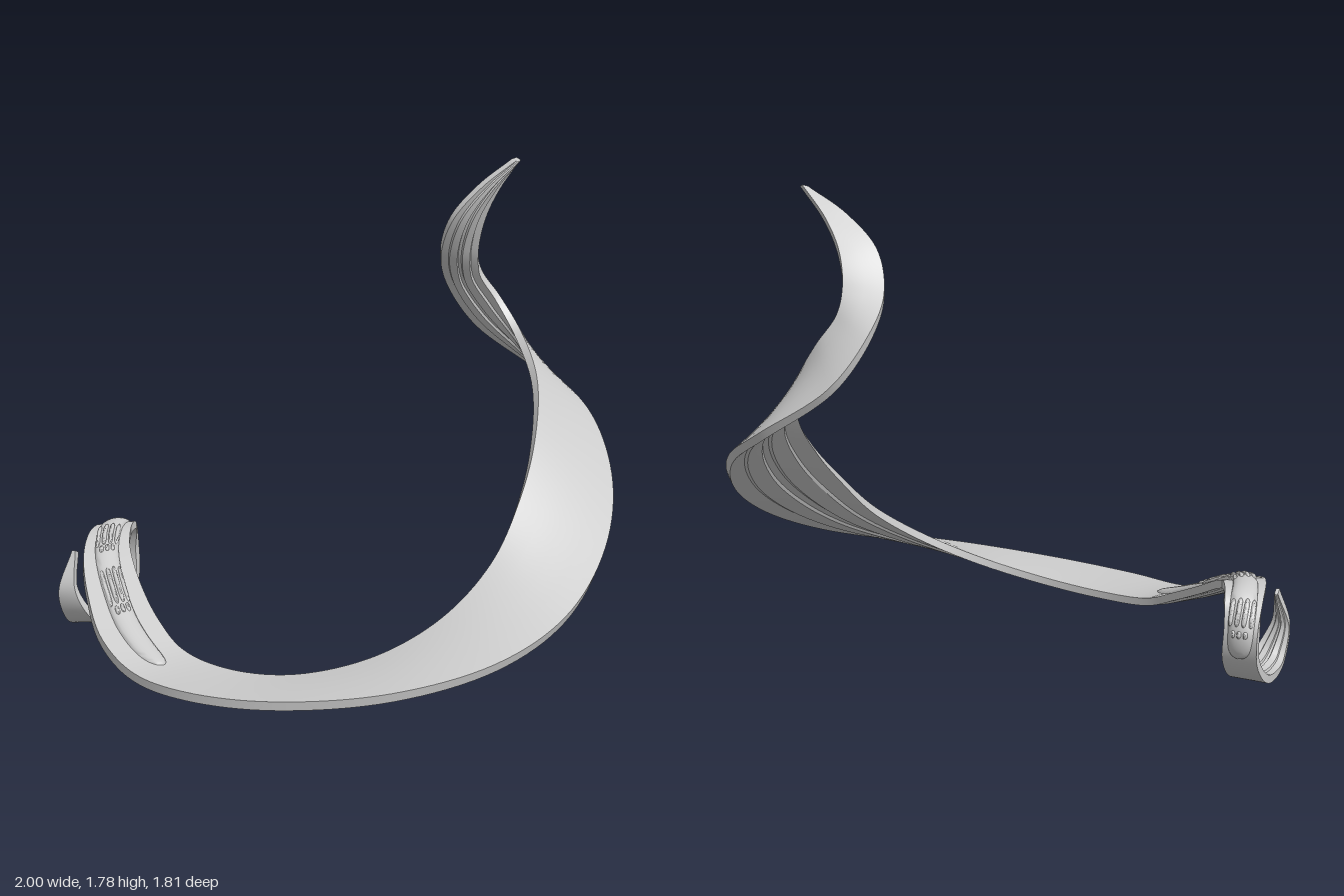
import * as THREE from 'three';
import { toCreasedNormals } from 'three/addons/utils/BufferGeometryUtils.js';

// Matching stations along the two edges of the ribbon, from the upper tip to the curled tail
const INNER = [
  [.295, 1.79, -.672], [.235, 1.68, -.625], [.185, 1.57, -.61], [.15, 1.45, -.63], [.145, 1.36, -.665],
  [.2, 1.26, -.71], [.31, 1.13, -.7], [.44, .98, -.62], [.58, .78, -.41], [.66, .6, -.2],
  [.69, .43, 0], [.65, .28, .22], [.52, .165, .41], [.3, .09, .56], [.05, .07, .63],
  [-.18, .095, .635], [-.34, .165, .6], [-.52, .255, .52], [-.68, .34, .42], [-.79, .385, .31],
  [-.86, .37, .22], [-.885, .27, .185], [-.87, .15, .2], [-.84, .05, .29], [-.81, .02, .42],
  [-.79, .07, .53], [-.815, .18, .58], [-.855, .32, .54],
];
const OUTER = [
  [.285, 1.785, -.655], [.205, 1.69, -.555], [.12, 1.57, -.495], [.04, 1.43, -.54], [0, 1.3, -.66],
  [.05, 1.14, -.79], [.28, .97, -.905], [.52, .84, -.85], [.76, .65, -.65], [.93, .46, -.35],
  [1, .3, 0], [.94, .2, .31], [.74, .13, .6], [.42, .085, .81], [.1, .07, .9],
  [-.16, .08, .895], [-.37, .145, .845], [-.57, .24, .73], [-.75, .33, .59], [-.88, .375, .44],
  [-.96, .36, .31], [-1, .27, .225], [-.99, .15, .24], [-.965, .05, .33], [-.93, .015, .44],
  [-.895, .04, .55], [-.875, .17, .61], [-.867, .32, .545],
];
const LAST = INNER.length - 1;
const curve = (pts) => new THREE.CatmullRomCurve3(pts.map((p) => new THREE.Vector3(...p)));
const inner = curve(INNER), outer = curve(OUTER);

// Local frame of the ribbon at station u
function frame(u) {
  const at = (s) => {
    const t = THREE.MathUtils.clamp(s / LAST, 0, 1);
    return [inner.getPoint(t), outer.getPoint(t)];
  };
  const mid = ([a, b]) => a.clone().add(b).multiplyScalar(.5);
  const edges = at(u);
  const tangent = mid(at(u + .05)).sub(mid(at(u - .05)));
  const across = edges[1].clone().sub(edges[0]);
  const width = across.length();
  across.normalize();
  return { center: mid(edges), across, width, normal: tangent.cross(across).normalize() };
}

const place = (f, side, height) =>
  f.center.clone().addScaledVector(f.across, side).addScaledVector(f.normal, height);

// Join rows of points into a surface
function skin(rows, crease) {
  const cols = rows[0].length, index = [];
  for (let i = 0; i < rows.length - 1; i++) {
    for (let j = 0; j < cols - 1; j++) {
      const a = i * cols + j, b = a + 1, c = a + cols, d = c + 1;
      index.push(a, b, c, b, d, c);
    }
  }
  const geo = new THREE.BufferGeometry();
  geo.setAttribute('position', new THREE.Float32BufferAttribute(rows.flat().flatMap((p) => p.toArray()), 3));
  geo.setIndex(index);
  return toCreasedNormals(geo, crease);
}

// Section of the ribbon: smooth top, lengthwise ridges underneath [position across, depth]
const SECTION = [
  [1, 0], [.75, 0], [.5, 0], [.25, 0], [0, 0],
  [0, .03], [.2, .03], [.23, .038], [.43, .041], [.46, .033],
  [.54, .033], [.57, .041], [.77, .038], [.8, .03], [1, .03], [1, 0],
];

function ribbonGeometry() {
  const rows = [], steps = LAST * 8;
  for (let i = 0; i <= steps; i++) {
    const f = frame(i / steps * LAST);
    rows.push(SECTION.map(([v, d]) => place(f, (v - .5) * f.width, -d)));
  }
  // Close both ends
  const cap = (row) => {
    const c = new THREE.Vector3();
    row.forEach((p) => c.addScaledVector(p, 1 / row.length));
    return row.map(() => c.clone());
  };
  rows.unshift(cap(rows[0]));
  rows.push(cap(rows[rows.length - 1]));
  return skin(rows, .5);
}

// Rounded raised strip that follows the top of the ribbon
function bumpGeometry(u0, u1, side, halfWidth, height, lift, steps, power) {
  const rows = [], arc = 10;
  for (let i = 0; i <= steps; i++) {
    const s = -Math.cos(Math.PI * i / steps);
    const k = Math.sqrt(Math.max(0, 1 - Math.abs(s) ** power));
    const f = frame(u0 + (u1 - u0) * (s + 1) / 2);
    const row = [];
    for (let j = 0; j <= arc; j++) {
      const a = Math.PI * j / arc;
      row.push(place(f, side + Math.cos(a) * halfWidth * k, lift + Math.sin(a) * height * k - .002));
    }
    rows.push(row);
  }
  return skin(rows, 1);
}

export function createModel() {
  const group = new THREE.Group();
  const material = new THREE.MeshStandardMaterial({ color: 0xcccccc, side: THREE.DoubleSide });
  const add = (name, geo, parent = group) => {
    const mesh = new THREE.Mesh(geo, material);
    mesh.name = name;
    parent.add(mesh);
  };

  add('twistedRibbon', ribbonGeometry());

  // Domed band along the tail
  const BAND = .047, DOME = .022;
  add('raisedBand', bumpGeometry(14.85, 21.9, 0, BAND, DOME, 0, 64, 14));

  // Groups of long and short bars on the band
  const domeAt = (x) => DOME * Math.sqrt(Math.max(0, 1 - (x / BAND) ** 2)) - .003;
  [[16.55, 17.45, 16.42], [18.1, 18.95, 17.98], [20.1, 20.9, 21.1]].forEach(([u0, u1, small], n) => {
    const set = new THREE.Group();
    set.name = 'barGroup' + (n + 1);
    for (const x of [-.036, -.012, .012, .036]) {
      add('longBar', bumpGeometry(u0, u1, x, .009, .011, domeAt(x), 14, 6), set);
    }
    for (const x of [-.022, 0, .022]) {
      add('shortBar', bumpGeometry(small - .1, small + .1, x, .008, .01, domeAt(x), 8, 4), set);
    }
    group.add(set);
  });
  return group;
}
